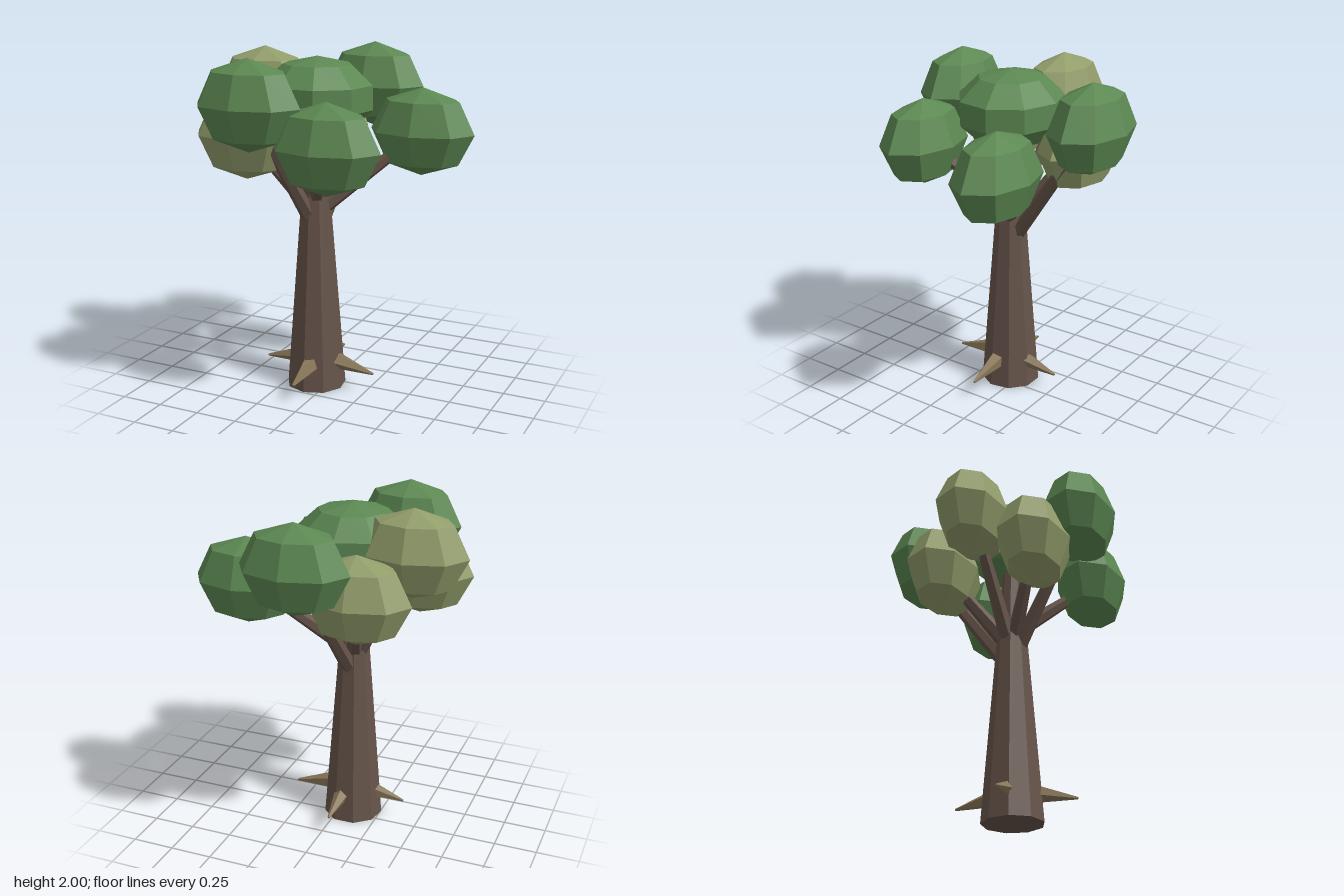
import * as THREE from 'three';

const material = (name, color) => {
  const m = new THREE.MeshStandardMaterial({ color, flatShading: true });
  m.name = name;
  return m;
};

export function createModel() {
  const bark = material('bark', 0x66544a);
  const rootWood = material('root wood', 0x887658);
  const green = material('green leaves', 0x5c8852);
  const olive = material('olive leaves', 0x929d6b);

  const tree = new THREE.Group();
  tree.name = 'tree';

  const add = (name, geometry, mat) => {
    const mesh = new THREE.Mesh(geometry, mat);
    mesh.name = name;
    tree.add(mesh);
    return mesh;
  };

  // Tapered limb running from one point to another
  const limb = (name, from, to, r0, r1, sides, mat) => {
    const dir = to.clone().sub(from);
    const mesh = add(name, new THREE.CylinderGeometry(r1, r0, dir.length(), sides), mat);
    mesh.position.copy(from).add(to).multiplyScalar(0.5);
    mesh.quaternion.setFromUnitVectors(new THREE.Vector3(0, 1, 0), dir.normalize());
  };

  // Trunk
  const cx = -0.08, cz = 0.065;
  limb('trunk', new THREE.Vector3(cx, 0, cz), new THREE.Vector3(cx, 1.62, cz), 0.177, 0.05, 9, bark);

  // Central crown
  const crown = add('centralCrown', new THREE.SphereGeometry(1, 9, 5, -Math.PI / 2), green);
  crown.scale.set(0.34, 0.225, 0.316);
  crown.position.set(-0.07, 1.745, 0.055);

  // Outer leaf clumps, each carried by a branch: x, y, z, branch start height
  const clumps = [
    ['back', 0.03, 1.745, -0.535, 0.98, green],
    ['left', 0.46, 1.535, -0.22, 1.1, green],
    ['frontLeft', 0.19, 1.535, 0.485, 1.18, green],
    ['front', -0.25, 1.745, 0.53, 1.05, green],
    ['backRight', -0.23, 1.535, -0.31, 1.1, olive],
    ['right', -0.46, 1.745, -0.05, 1.1, olive],
    ['frontRight', -0.4, 1.535, 0.295, 1.12, olive],
  ];
  const clumpGeometry = new THREE.SphereGeometry(1, 8, 4);
  for (const [name, x, y, z, startY, mat] of clumps) {
    const clump = add(name + 'Clump', clumpGeometry, mat);
    clump.scale.set(0.315, 0.255, 0.21);
    clump.position.set(x, y, z);

    const outward = new THREE.Vector3(x - cx, 0, z - cz).setLength(0.05);
    const start = new THREE.Vector3(cx, startY, cz).add(outward);
    limb(name + 'Branch', start, new THREE.Vector3(x, y, z), 0.047, 0.028, 6, bark);
  }

  // Pointed roots around the foot
  for (let i = 0; i < 4; i++) {
    const a = i * Math.PI / 2;
    const at = (r, y) => new THREE.Vector3(-0.053 + r * Math.cos(a), y, 0.073 + r * Math.sin(a));
    limb('root', at(0.1, 0.17), at(0.35, 0.12), 0.055, 0.007, 5, rootWood);
  }

  return tree;
}
